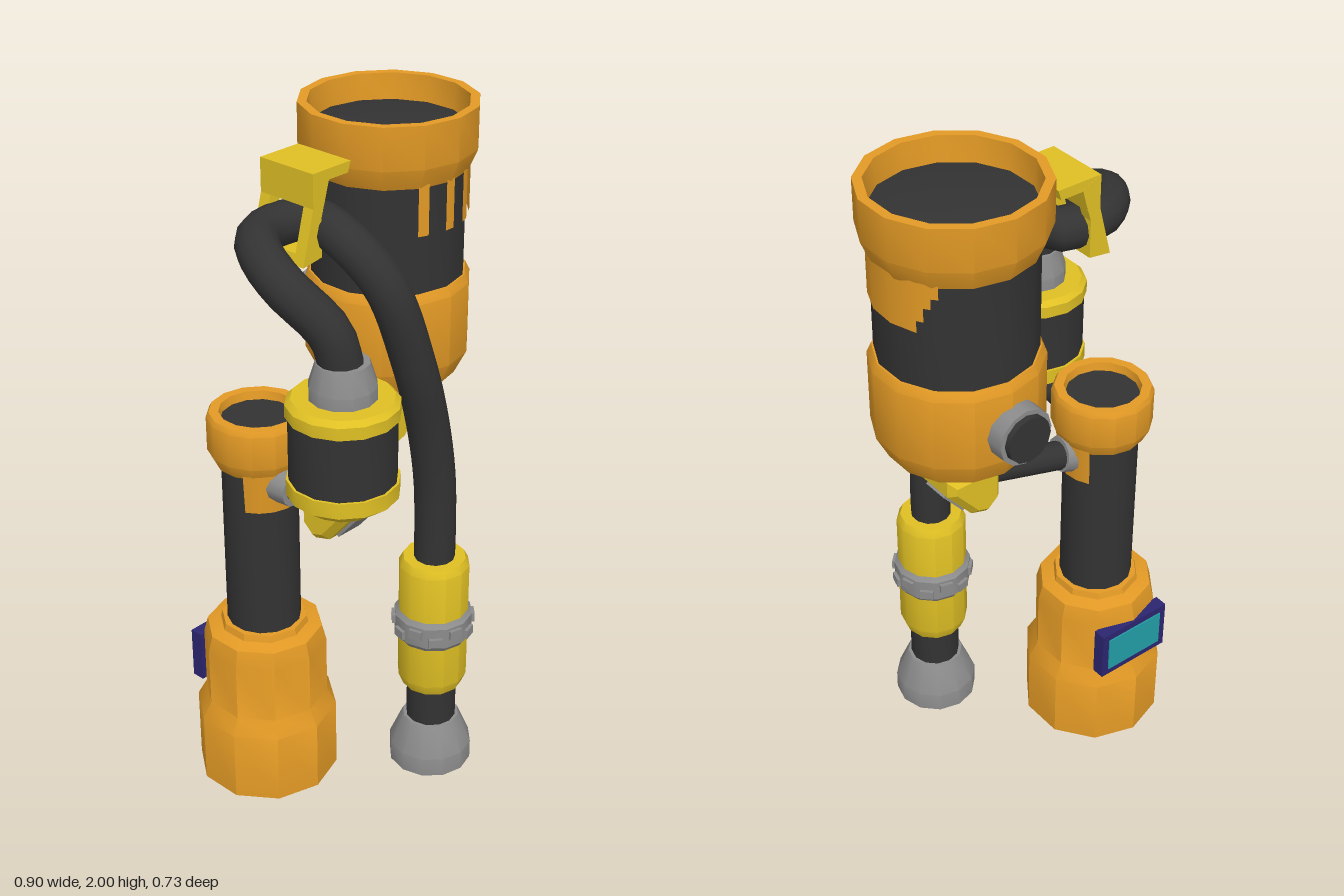
import * as THREE from 'three';
import { toCreasedNormals } from 'three/addons/utils/BufferGeometryUtils.js';

const mat = (color, side = THREE.FrontSide) => new THREE.MeshStandardMaterial({ color, side });
const ORANGE = mat(0xe39a25), PANEL = mat(0xe39a25, THREE.DoubleSide), YELLOW = mat(0xe0c024);
const BLACK = mat(0x333333), GRAY = mat(0x8c8c8c), NAVY = mat(0x2c2670), TEAL = mat(0x239fa8);
const rad = THREE.MathUtils.degToRad;

export function createModel() {
  const root = new THREE.Group();

  function add(name, geo, material, pos = [0, 0, 0], parent = root) {
    const m = new THREE.Mesh(geo, material);
    m.name = name;
    m.position.set(...pos);
    parent.add(m);
    return m;
  }
  function group(name, x, y, z) {
    const g = new THREE.Group();
    g.name = name;
    g.position.set(x, y, z);
    root.add(g);
    return g;
  }
  // turned part, profile of [radius, y] from bottom to top
  function turned(name, profile, sides, material, parent) {
    const pts = profile.map(p => new THREE.Vector2(...p));
    return add(name, toCreasedNormals(new THREE.LatheGeometry(pts, sides), 0.56), material, [0, 0, 0], parent);
  }
  // open curved panel wrapped round an axis, angles in degrees from the front
  function panel(name, r, y0, y1, a0, a1, parent, rBottom = r) {
    const geo = new THREE.CylinderGeometry(r, rBottom, y1 - y0, Math.max(1, Math.round((a1 - a0) / 20)), 1, true, rad(a0), rad(a1 - a0));
    return add(name, geo, PANEL, [0, (y0 + y1) / 2, 0], parent);
  }
  // straight rod between two points
  function rod(name, a, b, r0, r1, material) {
    const p = new THREE.Vector3(...a), q = new THREE.Vector3(...b);
    const m = add(name, new THREE.CylinderGeometry(r1, r0, p.distanceTo(q), 12), material);
    m.position.copy(p).lerp(q, 0.5);
    m.quaternion.setFromUnitVectors(new THREE.Vector3(0, 1, 0), q.sub(p).normalize());
  }
  // side profile extruded along z, centred
  function slab(points, depth, bevel = 0) {
    const s = new THREE.Shape(points.map(p => new THREE.Vector2(...p)));
    const g = new THREE.ExtrudeGeometry(s, {
      depth: depth - 2 * bevel, bevelEnabled: bevel > 0, bevelSize: bevel, bevelOffset: -bevel,
      bevelThickness: bevel, bevelSegments: 1,
    });
    return g.translate(0, 0, -depth / 2 + bevel);
  }

  // base column with ten-sided body
  const column = group('column', -0.255, 0, -0.14);
  turned('baseBody', [[0, 0.01], [0.21, 0.01], [0.21, 0.23], [0.183, 0.28], [0.183, 0.46],
    [0.17, 0.51], [0.13, 0.52], [0.125, 0.54], [0, 0.54]], 10, ORANGE, column);
  turned('post', [[0, 0.5], [0.108, 0.5], [0.108, 1.19], [0, 1.19]], 14, BLACK, column);
  turned('postCollar', [[0.108, 1.06], [0.125, 1.06], [0.145, 1.1], [0.145, 1.2], [0.137, 1.215],
    [0.11, 1.215], [0.104, 1.18]], 14, ORANGE, column);
  panel('collarSkirt', 0.13, 0.95, 1.07, -65, 125, column, 0.12);

  // display on the back of the base
  add('screenFrame', new THREE.BoxGeometry(0.245, 0.16, 0.04), NAVY, [0, 0.37, -0.168], column);
  add('screenPanel', new THREE.BoxGeometry(0.2, 0.115, 0.01), TEAL, [0, 0.37, -0.187], column);

  // large canister
  const canister = group('canister', 0.205, 0, -0.08);
  turned('canisterCup', [[0, 1.195], [0.17, 1.195], [0.2, 1.21], [0.235, 1.28], [0.235, 1.49],
    [0.222, 1.515], [0, 1.515]], 14, ORANGE, canister);
  turned('canisterSleeve', [[0.217, 1.5], [0.217, 1.84]], 14, BLACK, canister);
  turned('canisterRim', [[0.215, 1.82], [0.223, 1.82], [0.249, 1.88], [0.249, 2], [0.223, 2],
    [0.217, 1.92]], 14, ORANGE, canister);
  turned('canisterLid', [[0.222, 1.925], [0.14, 1.94], [0, 1.945]], 14, BLACK, canister);
  turned('canisterFoot', [[0, 1.125], [0.09, 1.125], [0.115, 1.16], [0.12, 1.2]], 12, GRAY, canister);
  for (const a of [-23, 0, 20]) panel('rimTab', 0.224, 1.685, 1.83, a - 4, a + 4, canister);
  panel('rimGuard', 0.224, 1.685, 1.83, 36, 118, canister);
  for (const [a, y] of [[118, 1.72], [123, 1.76], [128, 1.79]]) panel('rimGuardEdge', 0.224, y, 1.83, a, a + 5, canister);

  // knob at the back of the canister
  rod('knobRing', [0.19, 1.365, -0.28], [0.19, 1.365, -0.352], 0.085, 0.083, GRAY);
  rod('knobCap', [0.19, 1.365, -0.33], [0.19, 1.365, -0.368], 0.072, 0.068, BLACK);

  // small canister
  const flask = group('flask', -0.285, 0, 0.21);
  turned('flaskBottom', [[0, 1.07], [0.1, 1.07], [0.153, 1.11], [0.153, 1.155], [0, 1.16]], 14, YELLOW, flask);
  turned('flaskSleeve', [[0.146, 1.14], [0.146, 1.355]], 14, BLACK, flask);
  turned('flaskTop', [[0, 1.335], [0.153, 1.34], [0.153, 1.375], [0.138, 1.39], [0, 1.39]], 14, YELLOW, flask);
  turned('flaskNeck', [[0.092, 1.38], [0.092, 1.425], [0.072, 1.49], [0, 1.49]], 12, GRAY, flask);

  // wedge brackets under both canisters, with an inset plate on the slope
  for (const [name, x, z, turn] of [['canisterBracket', 0.205, -0.08, 0], ['flaskBracket', -0.285, 0.21, -Math.PI / 2]]) {
    const g = group(name, x, 0, z);
    g.rotation.y = turn;
    add('wedge', slab([[-0.09, 1.13], [-0.09, 1.01], [-0.045, 0.97], [0.005, 0.985], [0.085, 1.08], [0.085, 1.13]],
      0.16, 0.02), YELLOW, [0, 0, 0], g);
    add('wedgePlate', new THREE.BoxGeometry(0.1, 0.014, 0.08), GRAY, [0.046, 1.032, 0], g).rotation.z = Math.atan2(0.095, 0.08);
  }

  // arms from the collar to the brackets
  rod('canisterArm', [-0.14, 1.02, -0.13], [0.16, 1.07, -0.08], 0.042, 0.042, BLACK);
  rod('canisterArmSocket', [-0.16, 1.02, -0.13], [-0.112, 1.028, -0.125], 0.058, 0.052, GRAY);
  rod('flaskArm', [-0.275, 1.03, -0.03], [-0.285, 1.04, 0.17], 0.032, 0.032, BLACK);
  rod('flaskArmSocket', [-0.275, 1.03, -0.04], [-0.275, 1.03, 0.02], 0.055, 0.05, GRAY);

  // one hose from the flask, through the clamp, down to the coupling
  const path = new THREE.CatmullRomCurve3([
    [-0.285, 1.46, 0.21], [-0.31, 1.57, 0.19], [-0.37, 1.69, 0.08], [-0.34, 1.74, -0.03], [-0.26, 1.745, -0.1],
    [-0.16, 1.745, -0.107], [-0.105, 1.745, -0.08], [-0.12, 1.735, 0.05], [-0.08, 1.62, 0.165], [0, 1.38, 0.2],
    [0.065, 1.17, 0.2], [0.1, 0.98, 0.2], [0.108, 0.82, 0.2], [0.108, 0.69, 0.2],
  ].map(p => new THREE.Vector3(...p)));
  add('hose', new THREE.TubeGeometry(path, 44, 0.06, 12), BLACK);

  // hose clamp: top plate and a slanted hoop
  const clamp = group('hoseClamp', 0, 0, -0.077);
  add('clampPlate', slab([[-0.19, 1.885], [-0.06, 1.885], [-0.05, 1.915], [-0.19, 1.915]], 0.19), YELLOW, [0, 0, 0], clamp);
  const leg = [[-0.19, 1.915], [-0.13, 1.89], [-0.16, 1.79], [-0.16, 1.68], [-0.23, 1.67], [-0.19, 1.82]];
  for (const s of [-1, 1]) add('clampLeg', slab(leg, 0.035), YELLOW, [0, 0, s * 0.078], clamp);
  add('clampTopBar', slab([[-0.19, 1.915], [-0.13, 1.89], [-0.15, 1.82], [-0.19, 1.82]], 0.19), YELLOW, [0, 0, 0], clamp);
  add('clampBottomBar', slab([[-0.23, 1.67], [-0.16, 1.68], [-0.16, 1.7], [-0.222, 1.7]], 0.19), YELLOW, [0, 0, 0], clamp);

  // hose coupling with its nozzle foot
  const coupling = group('coupling', 0.108, 0, 0.2);
  turned('nozzleFoot', [[0, 0], [0.125, 0], [0.125, 0.06], [0.092, 0.14], [0.085, 0.155], [0, 0.155]], 12, GRAY, coupling);
  turned('nozzleTube', [[0.075, 0.14], [0.075, 0.3]], 12, BLACK, coupling);
  turned('couplingBody', [[0, 0.28], [0.09, 0.28], [0.104, 0.315], [0.104, 0.695], [0.092, 0.718],
    [0, 0.718]], 12, YELLOW, coupling);
  turned('couplingRing', [[0.1, 0.44], [0.11, 0.46], [0.116, 0.465], [0.116, 0.53], [0.11, 0.535],
    [0.1, 0.55]], 12, GRAY, coupling);
  for (let i = 0; i < 12; i++) {
    const a = rad(15 + i * 30);
    const link = add('ringLink', new THREE.BoxGeometry(0.04, 0.028, 0.016), GRAY,
      [Math.sin(a) * 0.114, i % 2 ? 0.508 : 0.486, Math.cos(a) * 0.114], coupling);
    link.rotation.y = a;
  }
  return root;
}
